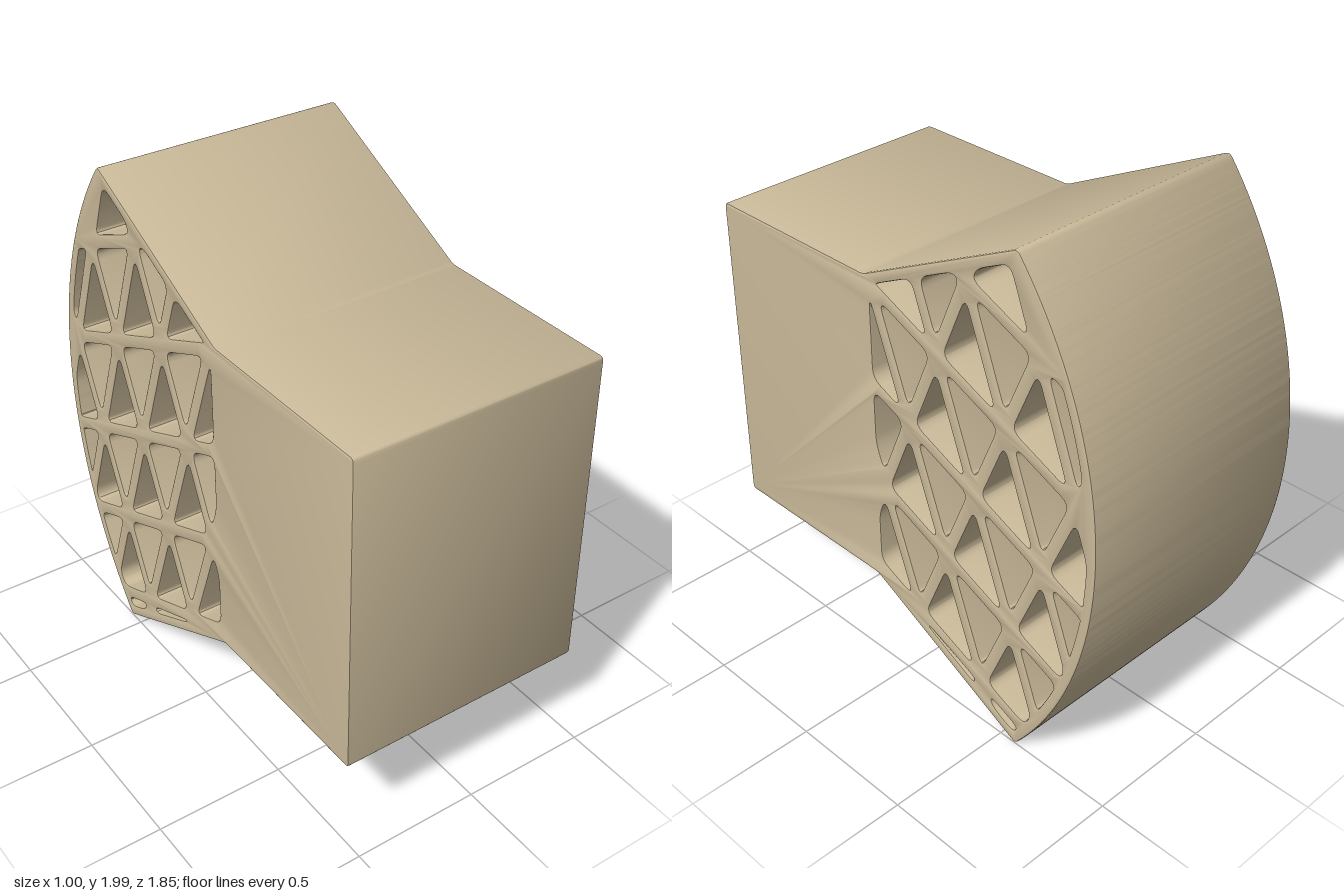
import * as THREE from 'three';
import { toCreasedNormals } from 'three/addons/utils/BufferGeometryUtils.js';

const V = (u, y) => new THREE.Vector2(u, y);

// Profile plane: u runs to the back (-z), y is up
const ARC = V(-0.661, 1), R = 1.586, WALL = 0.042, STRUT = 0.052, WIDTH = 1;
const arcPoints = (r, half, n) => Array.from({ length: n + 1 }, (_, i) => {
  const t = half * (2 * i / n - 1);
  return V(ARC.x + r * Math.cos(t), ARC.y + r * Math.sin(t));
});

// Keep the part of a convex polygon at least d to the left of line p-q
function clip(poly, p, q, d) {
  const n = V(p.y - q.y, q.x - p.x).normalize();
  const dist = v => v.clone().sub(p).dot(n) - d;
  const out = [];
  poly.forEach((v, i) => {
    const w = poly[(i + 1) % poly.length], dv = dist(v), dw = dist(w);
    if (dv >= 0) out.push(v);
    if (dv * dw < 0) out.push(v.clone().lerp(w, dv / (dv - dw)));
  });
  return out;
}

// Trace a polygon with softened corners
function trace(path, poly, r) {
  poly.forEach((v, i) => {
    const toward = o => v.clone().lerp(o, Math.min(0.45, r / v.distanceTo(o)));
    const a = toward(poly[(i + poly.length - 1) % poly.length]);
    const b = toward(poly[(i + 1) % poly.length]);
    if (i) path.lineTo(a.x, a.y); else path.moveTo(a.x, a.y);
    path.quadraticCurveTo(v.x, v.y, b.x, b.y);
  });
  path.closePath();
  return path;
}

// Triangular cells of the skewed lattice, clipped to the inside of the fan
function latticeHoles() {
  const lowA = V(-0.16, 0.37), lowB = V(0.57, 0), topA = V(0.57, 2), topB = V(-0.16, 1.64);
  let region = [V(-0.13, 2.2), V(-0.13, -0.2), ...arcPoints(R - WALL, 0.72, 26)];
  region = clip(region, lowA, lowB, WALL);
  region = clip(region, topA, topB, WALL);

  const origin = V(0.37, 1), a = V(0.32, -0.138), b = V(0.146, 0.336);
  const node = (i, j) => origin.clone().addScaledVector(a, i).addScaledVector(b, j);
  const holes = [];
  for (let i = -5; i <= 5; i++) for (let j = -5; j <= 5; j++) {
    const cells = [
      [node(i, j), node(i + 1, j), node(i, j + 1)],
      [node(i + 1, j), node(i + 1, j + 1), node(i, j + 1)],
    ];
    for (const c of cells) {
      let poly = region;
      for (let k = 0; k < 3 && poly.length; k++) poly = clip(poly, c[k], c[(k + 1) % 3], STRUT / 2);
      // Drop slivers
      if (poly.length > 2 && THREE.ShapeUtils.area(poly) > 0.0015) {
        holes.push(trace(new THREE.Path(), poly, 0.04));
      }
    }
  }
  return holes;
}

export function createModel() {
  const group = new THREE.Group();
  const material = new THREE.MeshStandardMaterial({ color: 0xc8b898 });

  // Solid block flaring into a fan with a curved back wall
  const half = Math.asin(1 / R);
  const outline = [V(-0.925, 1.64), V(-0.925, 0.37), V(-0.16, 0.37),
    ...arcPoints(R, half, 40), V(-0.16, 1.64)];
  const shape = trace(new THREE.Shape(), outline, 0.018);
  shape.holes = latticeHoles();

  // Extruded across the width with slightly eased edges
  const ease = 0.008;
  const geometry = new THREE.ExtrudeGeometry(shape, {
    depth: WIDTH - 2 * ease, curveSegments: 4,
    bevelEnabled: true, bevelThickness: ease, bevelSize: ease, bevelOffset: -ease, bevelSegments: 2,
  });
  geometry.translate(0, 0, -WIDTH / 2 + ease);
  geometry.rotateY(Math.PI / 2);

  const body = new THREE.Mesh(toCreasedNormals(geometry, 0.6), material);
  body.name = 'blockWithLatticeFan';
  group.add(body);
  return group;
}
